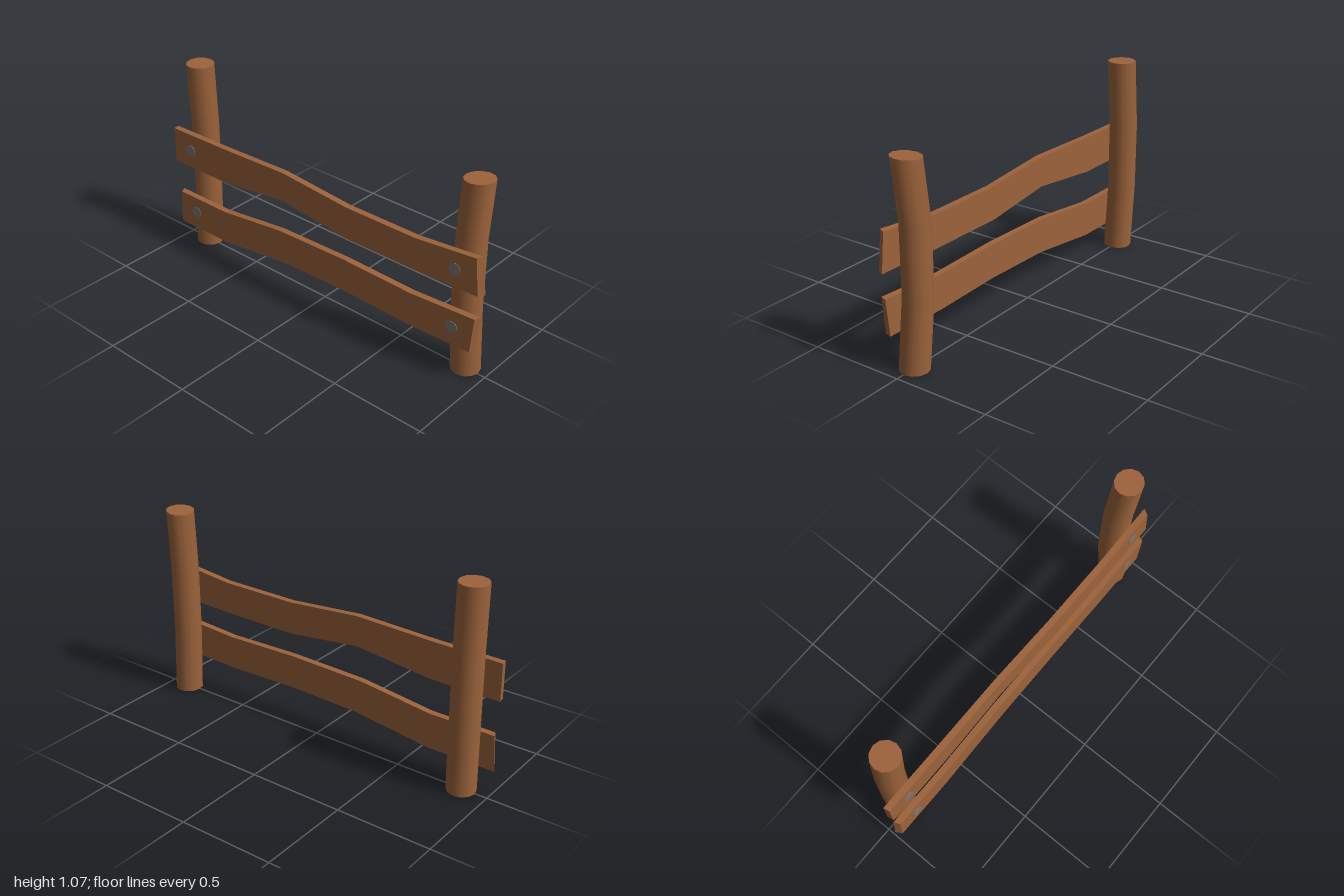
import * as THREE from 'three';

const wood = new THREE.MeshStandardMaterial({ color: 0x9c633b });
wood.name = 'brown wood';
const metal = new THREE.MeshStandardMaterial({ color: 0x7b7979 });
metal.name = 'grey metal';

function add(group, name, geometry, material) {
  const mesh = new THREE.Mesh(geometry, material);
  mesh.name = name;
  group.add(mesh);
}

// Bent round post: rings are [x, y, z] centres from bottom to top, tilt slopes the top cap
function postGeometry(rings, tilt) {
  const geo = new THREE.CylinderGeometry(0.074, 0.074, 1, 12, 3);
  const p = geo.attributes.position;
  for (let i = 0; i < p.count; i++) {
    const k = Math.round((p.getY(i) + 0.5) * 3);
    const [x, y, z] = rings[k];
    const lift = k === 3 ? p.getX(i) * tilt[0] + p.getZ(i) * tilt[1] : 0;
    p.setXYZ(i, x + p.getX(i), y + lift, z + p.getZ(i));
  }
  return geo;
}

// Wavy plank: matching top and bottom edge points; inset shortens the front face's corners
function railGeometry(top, bottom, inset) {
  const box = new THREE.BoxGeometry(1, 1, 1, 5, 1, 1);
  const p = box.attributes.position;
  for (let i = 0; i < p.count; i++) {
    const k = Math.round((p.getX(i) + 0.5) * 5);
    const upper = p.getY(i) > 0, front = p.getZ(i) > 0;
    let [x, y] = (upper ? top : bottom)[k];
    if (front && k === 0) x += inset.left[upper ? 0 : 1];
    if (front && k === 5) x -= inset.right[upper ? 0 : 1];
    p.setXYZ(i, x, y, front ? 0.092 : 0.058);
  }
  const geo = box.toNonIndexed();
  geo.computeVertexNormals();
  return geo;
}

export function createModel() {
  const fence = new THREE.Group();
  fence.name = 'fence';

  // Posts, bowed towards the back in the middle
  add(fence, 'rightPost', postGeometry(
    [[-0.863, 0, -0.005], [-0.868, 0.35, -0.018], [-0.867, 0.71, -0.018], [-0.861, 1.065, 0]],
    [0, 0]), wood);
  add(fence, 'leftPost', postGeometry(
    [[0.884, 0, -0.005], [0.858, 0.35, -0.018], [0.858, 0.71, -0.018], [0.885, 1.027, -0.005]],
    [0.07, 0.04]), wood);

  // Rails
  add(fence, 'upperRail', railGeometry(
    [[-1, 0.682], [-0.63, 0.685], [-0.2, 0.696], [0.21, 0.66], [0.63, 0.66], [0.98, 0.694]],
    [[-1, 0.488], [-0.63, 0.488], [-0.2, 0.535], [0.2, 0.487], [0.63, 0.489], [1, 0.5]],
    { left: [0.005, 0.005], right: [0.018, 0.018] }), wood);
  add(fence, 'lowerRail', railGeometry(
    [[-0.985, 0.303], [-0.63, 0.303], [-0.23, 0.35], [0.2, 0.36], [0.61, 0.35], [0.988, 0.372]],
    [[-1, 0.115], [-0.63, 0.115], [-0.2, 0.168], [0.21, 0.179], [0.61, 0.169], [0.967, 0.18]],
    { left: [0.014, 0.02], right: [0.012, 0.008] }), wood);

  // Flat bolt heads where rails meet posts
  for (const [x, y] of [[-0.873, 0.588], [0.85, 0.59], [-0.857, 0.215], [0.855, 0.274]]) {
    const bolt = new THREE.CylinderGeometry(0.033, 0.033, 0.004, 8);
    bolt.rotateX(Math.PI / 2).translate(x, y, 0.093);
    add(fence, 'bolt', bolt, metal);
  }
  return fence;
}
